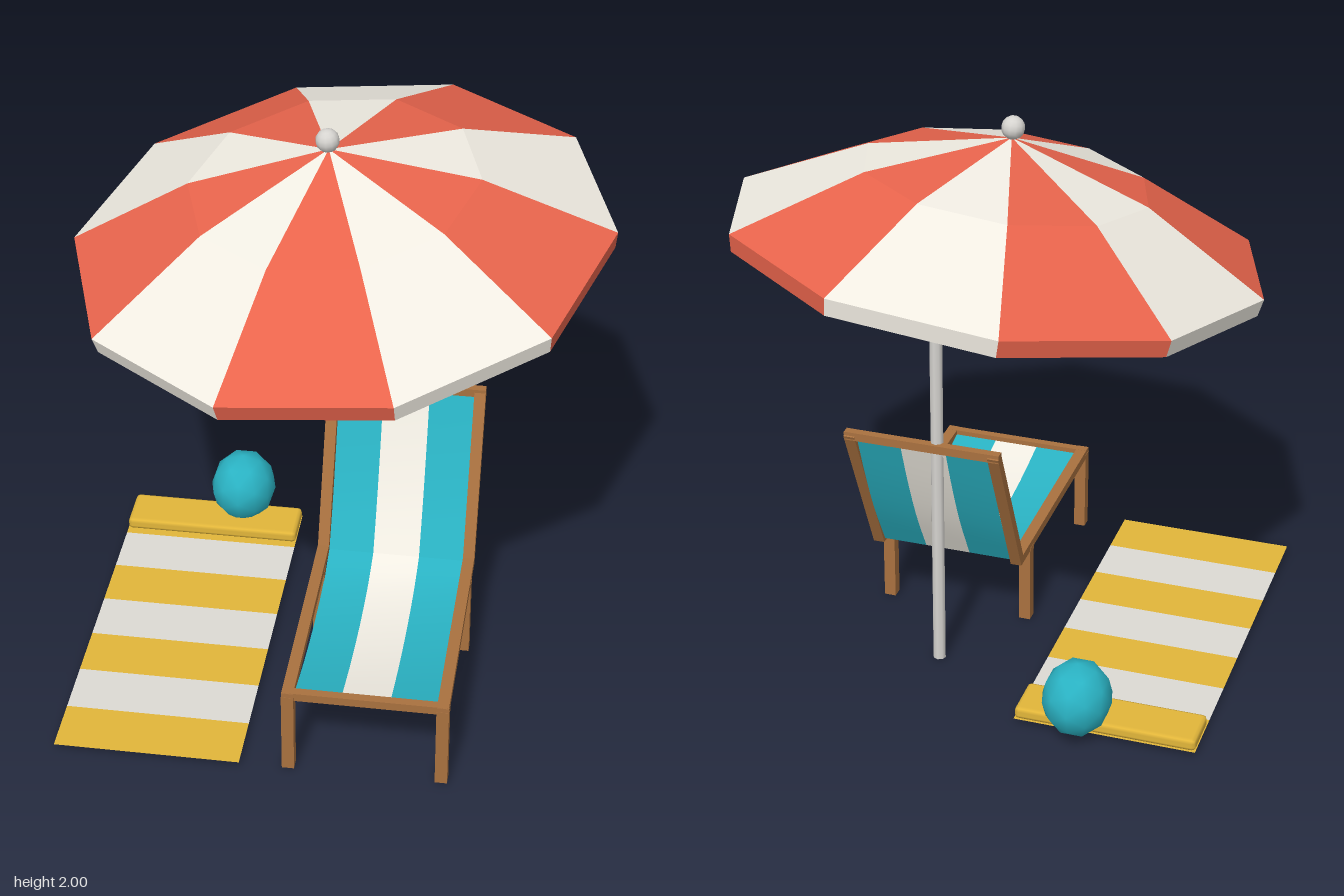
import * as THREE from 'three';
import { RoundedBoxGeometry } from 'three/addons/geometries/RoundedBoxGeometry.js';

const mat = (color, extra = {}) => new THREE.MeshStandardMaterial({ color, ...extra });
const thin = { side: THREE.DoubleSide };
const V = (x, y, z) => new THREE.Vector3(x, y, z);

export function createModel() {
  const model = new THREE.Group();
  const wood = mat(0xa9713f);
  const teal = mat(0x2ab3c4, thin);
  const cream = mat(0xf2eee4, thin);
  const yellow = mat(0xe2b63a, thin);
  const towelWhite = mat(0xdcdad4, thin);
  const metal = mat(0xd6d4d0);

  const add = (parent, name, geometry, material, pos = V(0, 0, 0)) => {
    const mesh = new THREE.Mesh(geometry, material);
    mesh.name = name;
    mesh.position.copy(pos);
    parent.add(mesh);
    return mesh;
  };
  const group = (name) => {
    const g = new THREE.Group();
    g.name = name;
    model.add(g);
    return g;
  };
  // square bar between two points
  const bar = (parent, name, a, b, w, h = w) => {
    const mesh = add(parent, name, new THREE.BoxGeometry(w, h, a.distanceTo(b)), wood,
      a.clone().add(b).multiplyScalar(0.5));
    mesh.lookAt(b);
    return mesh;
  };

  // parasol pole
  const parasol = group('parasol');
  add(parasol, 'pole', new THREE.CylinderGeometry(0.023, 0.023, 1.88, 8), metal, V(0.157, 0.94, -0.207));

  // tilted canopy of ten alternating panels, each with a valance
  const canopy = new THREE.Group();
  canopy.name = 'canopy';
  canopy.position.set(0, 1.58, -0.02);
  canopy.quaternion.setFromUnitVectors(V(0, 1, 0), V(-0.1, 1, 0.12).normalize());
  parasol.add(canopy);
  const profile = [[0.905, -0.06], [0.917, 0], [0.49, 0.22], [0.0001, 0.35]]
    .map(([r, y]) => new THREE.Vector2(r, y));
  const panelMats = [
    mat(0xe8644c, { ...thin, flatShading: true }),
    mat(0xf0ece2, { ...thin, flatShading: true }),
  ];
  const step = Math.PI / 5;
  for (let i = 0; i < 10; i++) {
    add(canopy, 'canopyPanel', new THREE.LatheGeometry(profile, 1, (i - 0.5) * step, step), panelMats[i % 2]);
  }
  add(canopy, 'finial', new THREE.SphereGeometry(0.04, 12, 8), metal, V(0, 0.385, 0));

  // deck chair frame
  const chair = group('deckChair');
  const cx = 0.205;
  for (const s of [-1, 1]) {
    const x = cx + s * 0.26;
    bar(chair, 'frontLeg', V(x, 0, 0.84), V(x, 0.31, 0.84), 0.042);
    bar(chair, 'backLeg', V(x, 0, 0.142), V(x, 0.3, 0.142), 0.042);
    bar(chair, 'seatRail', V(x, 0.31, 0.86), V(x, 0.305, 0.025), 0.04, 0.033);
    bar(chair, 'backRail', V(x, 0.295, 0.035), V(x, 0.865, -0.23), 0.04, 0.033);
  }
  bar(chair, 'frontBar', V(cx - 0.28, 0.312, 0.842), V(cx + 0.28, 0.312, 0.842), 0.03);
  bar(chair, 'topBar', V(cx - 0.28, 0.858, -0.225), V(cx + 0.28, 0.858, -0.225), 0.03);

  // sagging fabric sling in three lengthwise stripes
  const seatCurve = new THREE.CatmullRomCurve3([
    V(0, 0.312, 0.84), V(0, 0.27, 0.62), V(0, 0.25, 0.38), V(0, 0.262, 0.16), V(0, 0.3, 0.03),
  ]);
  const backCurve = new THREE.CatmullRomCurve3([
    V(0, 0.3, 0.03), V(0, 0.47, -0.065), V(0, 0.66, -0.15), V(0, 0.858, -0.225),
  ]);
  const strip = (curve, x0, x1) => {
    const n = 8;
    const g = new THREE.PlaneGeometry(1, 1, 1, n);
    const p = g.attributes.position;
    for (let i = 0; i <= n; i++) {
      const c = curve.getPoint(1 - i / n);
      p.setXYZ(i * 2, x0, c.y, c.z);
      p.setXYZ(i * 2 + 1, x1, c.y, c.z);
    }
    g.computeVertexNormals();
    return g;
  };
  const edges = [-0.035, 0.123, 0.287, 0.445];
  for (let i = 0; i < 3; i++) {
    const m = i === 1 ? cream : teal;
    add(chair, 'seatFabric', strip(seatCurve, edges[i], edges[i + 1]), m);
    add(chair, 'backFabric', strip(backCurve, edges[i], edges[i + 1]), m);
  }

  // striped beach towel with a pillow at its far end
  const towel = group('beachTowel');
  for (let i = 0; i < 7; i++) {
    add(towel, 'towelStripe', new THREE.PlaneGeometry(0.64, 0.2).rotateX(-Math.PI / 2),
      i % 2 ? towelWhite : yellow, V(-0.54, 0.02, 0.78 - i * 0.2));
  }
  add(towel, 'pillow', new RoundedBoxGeometry(0.64, 0.045, 0.17, 1, 0.015), yellow, V(-0.54, 0.04, -0.432));

  // beach ball
  const ball = add(model, 'beachBall', new THREE.IcosahedronGeometry(0.135, 1), mat(0x2ab3c4), V(-0.443, 0.15, -0.51));
  ball.scale.x = 0.9;

  return model;
}
